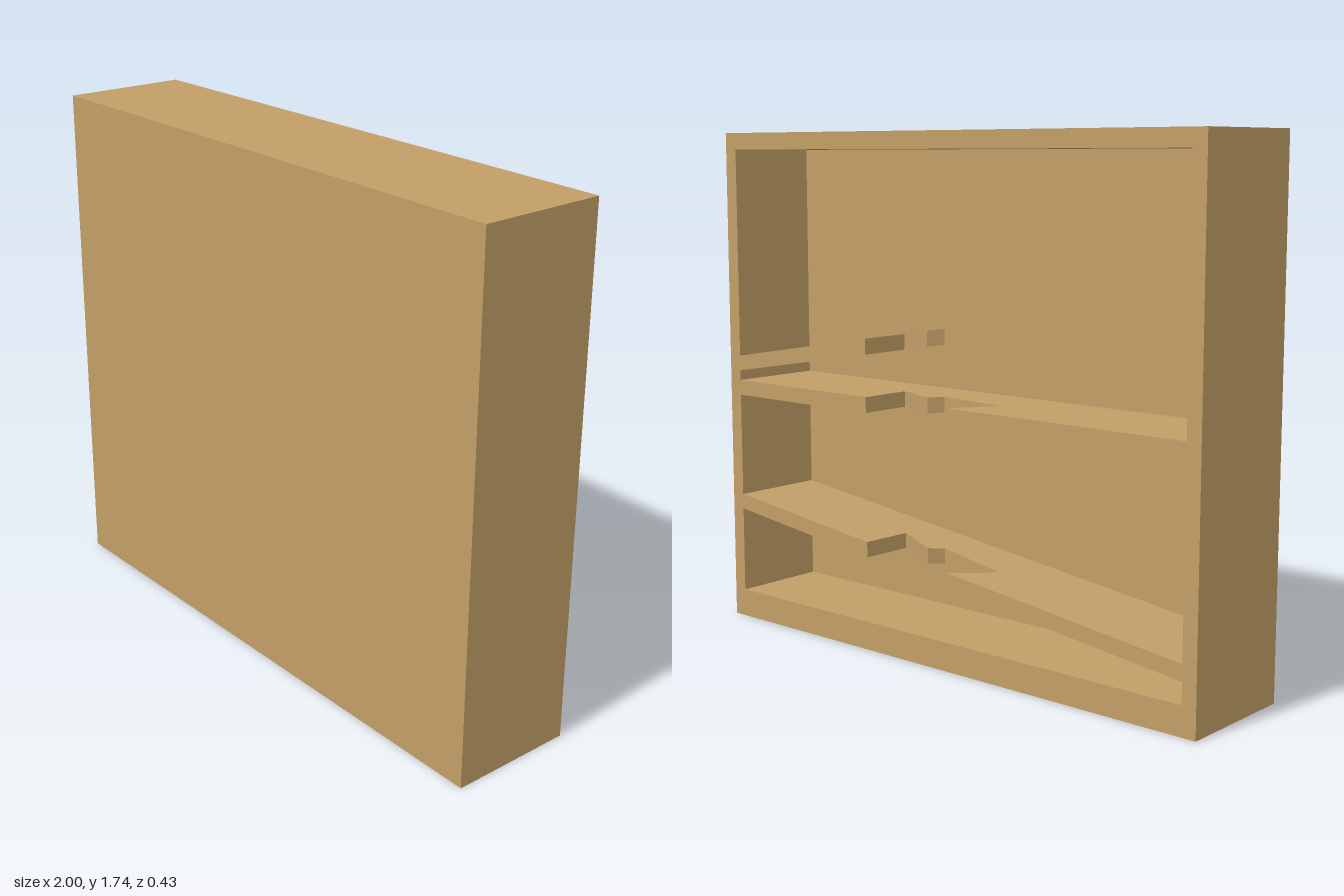
import * as THREE from 'three';

const W = 2, H = 1.735, D = 0.43;            // outer case
const SIDE = 0.05, TOP = 0.057, BOTTOM = 0.097, FRONT = 0.095;
const DEPTH = D - FRONT;                     // inside depth
const SHELF = 0.053;                         // shelf thickness

const wood = new THREE.MeshStandardMaterial({ color: 0xc19e67, flatShading: true });

function addMesh(group, name, geometry) {
  const mesh = new THREE.Mesh(geometry, wood);
  mesh.name = name;
  group.add(mesh);
  return mesh;
}

// Broken outline along the open edge: x and distance in from that edge
const notch = [[0.32, 0], [0.315, 0.183], [0.161, 0.129], [0.128, 0.177], [-0.138, 0.15], [-0.043, 0]];

// Shelf with a splintered notch, tilted by shearing so its cuts stay vertical
function shelfGeometry(slope) {
  const end = W / 2 - SIDE;
  const outline = [[end, 0], ...notch, [-end, 0], [-end, DEPTH], [end, DEPTH]];
  const shape = new THREE.Shape(outline.map(([x, d]) => new THREE.Vector2(x, D / 2 - d)));
  const geo = new THREE.ExtrudeGeometry(shape, { depth: SHELF, bevelEnabled: false });
  geo.rotateX(-Math.PI / 2);
  const p = geo.attributes.position;
  for (let i = 0; i < p.count; i++) p.setY(i, p.getY(i) + p.getX(i) * slope);
  geo.computeVertexNormals();
  return geo;
}

export function createModel() {
  const group = new THREE.Group();
  group.name = 'brokenShelfCase';

  // Surrounding frame, open at the back
  const rect = (target, x0, y0, x1, y1) =>
    target.moveTo(x0, y0).lineTo(x1, y0).lineTo(x1, y1).lineTo(x0, y1).closePath();
  const outer = rect(new THREE.Shape(), -W / 2, 0, W / 2, H);
  outer.holes.push(rect(new THREE.Path(), SIDE - W / 2, BOTTOM, W / 2 - SIDE, H - TOP));
  addMesh(group, 'frame', new THREE.ExtrudeGeometry(outer, { depth: DEPTH, bevelEnabled: false }))
    .position.z = -D / 2;

  // Solid panel closing the front
  addMesh(group, 'frontPanel', new THREE.BoxGeometry(W, H, FRONT))
    .position.set(0, H / 2, D / 2 - FRONT / 2);

  // Shelves: height of the top surface at the middle, and slope
  const shelves = [['upperShelf', 1.115, -0.17], ['middleShelf', 0.866, 0], ['lowerShelf', 0.335, 0.122]];
  for (const [name, top, slope] of shelves) {
    addMesh(group, name, shelfGeometry(slope)).position.y = top - SHELF;
  }
  return group;
}
